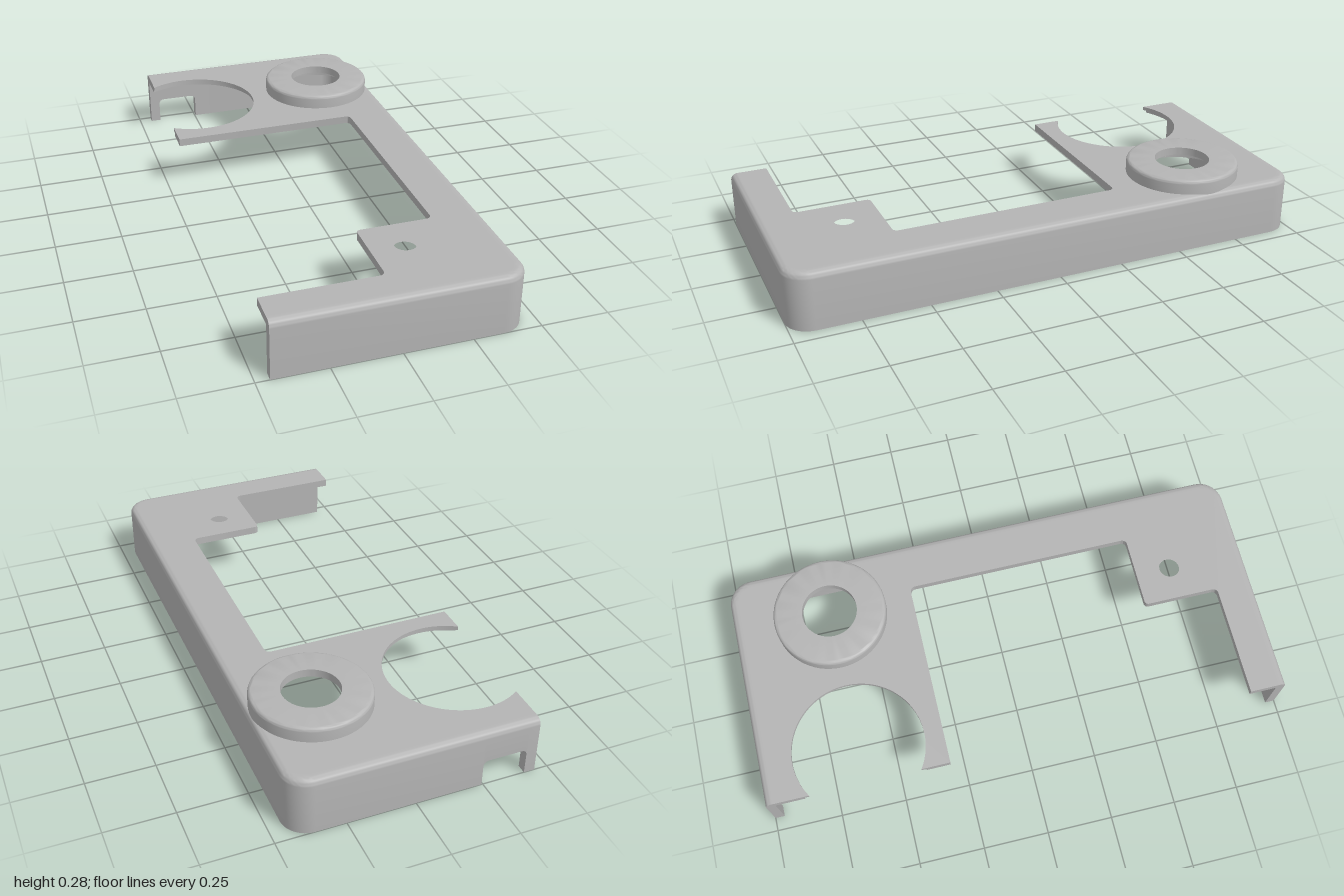
import * as THREE from 'three';
import { toCreasedNormals } from 'three/addons/utils/BufferGeometryUtils.js';

const TOP = 0.22, WALL = 0.035, FILLET = 0.025;
const END = -0.45, BIG = { x: -0.315, z: -0.625 }, CAP = { x: 0.225, z: -0.625 };

// Polyline with rounded right-angle corners; each point is [x, z, radius]
function roundedPath(shape, pts) {
  const k = 0.5523;
  pts.forEach(([x, z, r], i) => {
    if (!r) { i ? shape.lineTo(x, z) : shape.moveTo(x, z); return; }
    const c = new THREE.Vector2(x, z);
    const u = new THREE.Vector2(pts[i - 1][0], pts[i - 1][1]).sub(c).normalize();
    const v = new THREE.Vector2(pts[i + 1][0], pts[i + 1][1]).sub(c).normalize();
    const at = (d, s) => c.clone().addScaledVector(d, s);
    const p = at(u, r), a = at(u, r * (1 - k)), b = at(v, r * (1 - k)), q = at(v, r);
    shape.lineTo(p.x, p.y);
    shape.bezierCurveTo(a.x, a.y, b.x, b.y, q.x, q.y);
  });
}

// One layer of the top plate, with the open round cut-out of the given radius
function plateLayer(top, thickness, radius) {
  const dx = END - BIG.x, h = Math.sqrt(radius * radius - dx * dx);
  const s = new THREE.Shape();
  roundedPath(s, [
    [END, BIG.z + h], [END, -0.305], [0.27, -0.305, 0.02], [0.27, 0.57, 0.02],
    [-0.015, 0.57, 0.015], [-0.015, 0.86, 0.02], [END, 0.86], [END, 1 - WALL],
    [0.45 - WALL, 1 - WALL, 0.09 - WALL], [0.45 - WALL, WALL - 1, 0.09 - WALL],
    [END, WALL - 1], [END, BIG.z - h],
  ]);
  s.absarc(BIG.x, BIG.z, radius, Math.atan2(-h, dx), Math.atan2(h, dx), false);
  for (const [x, z, r] of [[CAP.x, CAP.z, 0.185], [0.115, 0.705, 0.04]]) {
    s.holes.push(new THREE.Path().absarc(x, z, r, 0, Math.PI * 2, true));
  }
  const g = new THREE.ExtrudeGeometry(s, { depth: thickness, bevelEnabled: false, curveSegments: 40 });
  g.rotateX(Math.PI / 2).translate(0, top, 0);
  return toCreasedNormals(g, 0.6);
}

// Outer wall swept around three sides; b is the height of its lower edge
function wallGeometry() {
  const stations = [];
  const back = (x, b) => stations.push({ x, z: -1, nx: 0, nz: -1, b });
  const n0 = -0.41, n1 = -0.245, nh = 0.1, nr = 0.02;
  back(END, 0);
  back(n0, 0);
  for (let i = 0; i <= 6; i++) {
    const t = i / 6 * Math.PI / 2;
    back(n0 + nr * (1 - Math.cos(t)), nh - nr * (1 - Math.sin(t)));
  }
  for (let i = 6; i >= 0; i--) {
    const t = i / 6 * Math.PI / 2;
    back(n1 - nr * (1 - Math.cos(t)), nh - nr * (1 - Math.sin(t)));
  }
  back(n1, 0);
  for (const [cz, start] of [[-0.91, -Math.PI / 2], [0.91, 0]]) {
    for (let i = 0; i <= 12; i++) {
      const t = start + i / 12 * Math.PI / 2, nx = Math.cos(t), nz = Math.sin(t);
      stations.push({ x: 0.36 + 0.09 * nx, z: cz + 0.09 * nz, nx, nz, b: 0 });
    }
  }
  stations.push({ x: END, z: 1, nx: 0, nz: 1, b: 0 });

  const pos = [], idx = [];
  let m = 0;
  for (const s of stations) {
    const section = [[0, s.b]];
    for (let i = 0; i <= 6; i++) {
      const t = i / 6 * Math.PI / 2;
      section.push([FILLET * (1 - Math.cos(t)), TOP - FILLET * (1 - Math.sin(t))]);
    }
    section.push([WALL, TOP], [WALL, s.b]);
    m = section.length;
    for (const [d, y] of section) pos.push(s.x - s.nx * d, y, s.z - s.nz * d);
  }
  const last = (stations.length - 1) * m;
  for (let i = 0; i < last; i += m) {
    for (let j = 0; j < m; j++) {
      const k = (j + 1) % m;
      idx.push(i + j, i + k, i + m + k, i + j, i + m + k, i + m + j);
    }
  }
  for (let j = 1; j < m - 1; j++) idx.push(0, j + 1, j, last, last + j, last + j + 1);
  const g = new THREE.BufferGeometry();
  g.setAttribute('position', new THREE.Float32BufferAttribute(pos, 3));
  g.setIndex(idx);
  return toCreasedNormals(g, 0.6);
}

// Hollow round collar with a softened upper rim
function collarGeometry() {
  const R = 0.216, r = 0.015, top = 0.275, base = 0.2;
  const pts = [[0.185, base], [R, base]];
  for (let i = 0; i <= 6; i++) {
    const t = i / 6 * Math.PI / 2;
    pts.push([R - r * (1 - Math.cos(t)), top - r * (1 - Math.sin(t))]);
  }
  pts.push([0.105, top], [0.105, 0.245], [0.185, 0.245], [0.185, base]);
  const g = new THREE.LatheGeometry(pts.map(p => new THREE.Vector2(...p)), 64);
  return toCreasedNormals(g, 0.6);
}

export function createModel() {
  const group = new THREE.Group();
  group.name = 'bracketCover';
  const grey = new THREE.MeshStandardMaterial({ color: 0xb4b4b4 });
  grey.name = 'grey';
  const add = (name, geometry) => {
    const mesh = new THREE.Mesh(geometry, grey);
    mesh.name = name;
    group.add(mesh);
    return mesh;
  };
  add('outerWall', wallGeometry());
  add('topPlate', plateLayer(TOP, 0.015, 0.25));
  add('lowerPlate', plateLayer(TOP - 0.015, 0.015, 0.265));
  add('collar', collarGeometry()).position.set(CAP.x, 0, CAP.z);
  return group;
}
